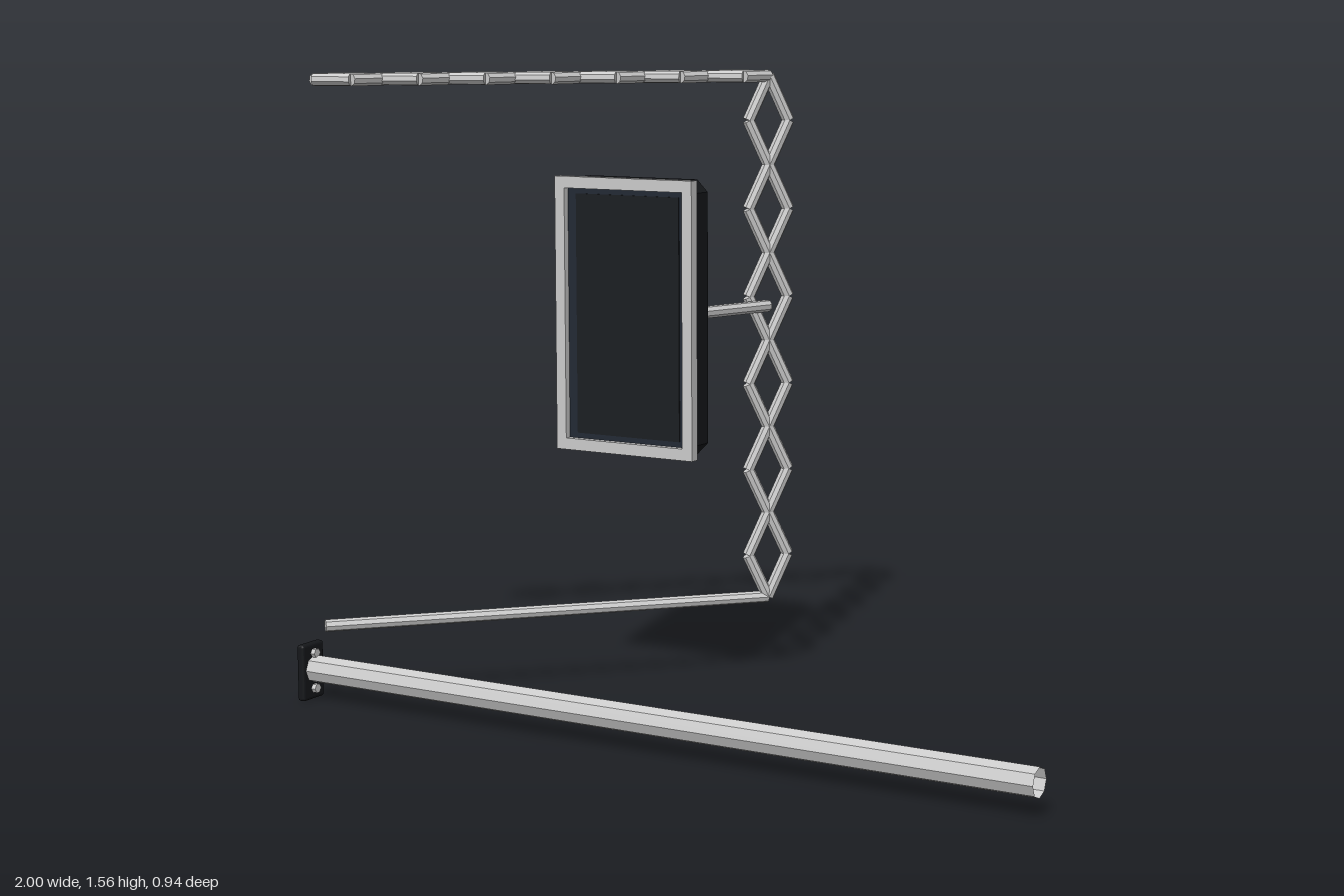
import * as THREE from 'three';
import { ConvexGeometry } from 'three/addons/geometries/ConvexGeometry.js';
import { RoundedBoxGeometry } from 'three/addons/geometries/RoundedBoxGeometry.js';

const metal = new THREE.MeshStandardMaterial({ color: 0xcccccc, flatShading: true });
const tubeMetal = new THREE.MeshStandardMaterial({ color: 0xcccccc, flatShading: true, side: THREE.DoubleSide });
const black = new THREE.MeshStandardMaterial({ color: 0x15171a, flatShading: true });
const glassEdge = new THREE.MeshStandardMaterial({ color: 0x222934 });
const glass = new THREE.MeshStandardMaterial({ color: 0x1b1e22 });

const V = (x, y, z) => new THREE.Vector3(x, y, z);
const UP = V(0, 1, 0);
const BAR = 0.0155;

function add(parent, name, geometry, material, x = 0, y = 0, z = 0) {
  const mesh = new THREE.Mesh(geometry, material);
  mesh.name = name;
  mesh.position.set(x, y, z);
  parent.add(mesh);
  return mesh;
}

// Eight-sided rod between two points
function rod(parent, name, a, b, radius = BAR) {
  const dir = b.clone().sub(a);
  const mesh = add(parent, name, new THREE.CylinderGeometry(radius, radius, dir.length(), 8), metal);
  mesh.position.copy(a).add(b).multiplyScalar(0.5);
  mesh.quaternion.setFromUnitVectors(UP, dir.normalize());
  return mesh;
}

// Lattice of crossing bars from a to b, opening to both sides along "side"
function scissor(name, a, b, side, cells, halfWidth) {
  const group = new THREE.Group();
  group.name = name;
  for (const s of [1, -1]) {
    const points = [a];
    for (let i = 0; i < cells; i++) {
      const sign = i % 2 ? -s : s;
      points.push(a.clone().lerp(b, (i + 0.5) / cells).addScaledVector(side, sign * halfWidth));
    }
    points.push(b);
    for (let i = 1; i < points.length; i++) rod(group, 'latticeBar', points[i - 1], points[i]);
  }
  return group;
}

// Rectangle outline with cut corners at depth z
function cutRectangle(w, h, cut, z) {
  const points = [];
  for (const sx of [-1, 1]) for (const sy of [-1, 1]) {
    points.push(V(sx * (w / 2 - cut), sy * h / 2, z), V(sx * w / 2, sy * (h / 2 - cut), z));
  }
  return points;
}

function rectangle(target, w, h) {
  target.moveTo(-w / 2, -h / 2);
  target.lineTo(w / 2, -h / 2);
  target.lineTo(w / 2, h / 2);
  target.lineTo(-w / 2, h / 2);
  target.closePath();
  return target;
}

function createDisplay() {
  const display = new THREE.Group();
  display.name = 'display';
  // Housing with bevelled back
  const rings = [[-0.006, 0.006], [-0.014, 0], [-0.078, 0], [-0.12, 0.035]];
  const points = rings.flatMap(([z, inset]) => cutRectangle(0.374 - 2 * inset, 0.68 - 2 * inset, 0.03, z));
  add(display, 'housing', new ConvexGeometry(points), black);
  // Bezel frame
  const frame = rectangle(new THREE.Shape(), 0.398, 0.685);
  frame.holes.push(rectangle(new THREE.Path(), 0.342, 0.627));
  add(display, 'bezel', new THREE.ExtrudeGeometry(frame, { depth: 0.026, bevelEnabled: false }), metal, 0, 0, -0.008);
  // Recessed screen
  add(display, 'screenBorder', new THREE.BoxGeometry(0.342, 0.627, 0.008), glassEdge, 0, 0, -0.003);
  add(display, 'screen', new THREE.BoxGeometry(0.3, 0.6, 0.003), glass, 0.004, 0, 0.002);
  display.position.set(-0.322, 0.957, 0);
  return display;
}

export function createModel() {
  const model = new THREE.Group();
  model.name = 'scissorMountedDisplay';

  // Horizontal rail with end plate and bolts
  const rail = add(model, 'rail', new THREE.CylinderGeometry(0.035, 0.035, 1.98, 8, 1, true), tubeMetal, 0.01, 0.077, 0.429);
  rail.rotation.z = Math.PI / 2;
  add(model, 'endPlate', new RoundedBoxGeometry(0.022, 0.143, 0.08, 2, 0.007), black, -0.989, 0.0715, 0.433);
  for (const y of [0.028, 0.118]) {
    const bolt = add(model, 'bolt', new THREE.CylinderGeometry(0.012, 0.012, 0.014, 6), metal, -0.973, y, 0.433);
    bolt.rotation.z = Math.PI / 2;
  }

  // Frame: lower arm, upright lattice mast, upper lattice arm
  const lowY = 0.194, highY = 1.541;
  const mastLow = V(-0.157, lowY, -0.412), mastHigh = V(-0.157, highY, -0.412);
  const tipLow = V(-0.931, lowY, 0.442), tipHigh = V(-0.931, highY, 0.442);
  const along = mastLow.clone().sub(tipLow).normalize();
  const across = along.clone().cross(UP);
  rod(model, 'lowerArm', tipLow, mastLow);
  model.add(scissor('mast', mastLow, mastHigh, along, 6, 0.053));
  model.add(scissor('upperArm', mastHigh, tipHigh, across, 7, 0.051));

  // Display and the strut that holds it
  rod(model, 'displayStrut', V(-0.157, 0.955, -0.412), V(-0.245, 0.955, -0.1));
  model.add(createDisplay());
  return model;
}
